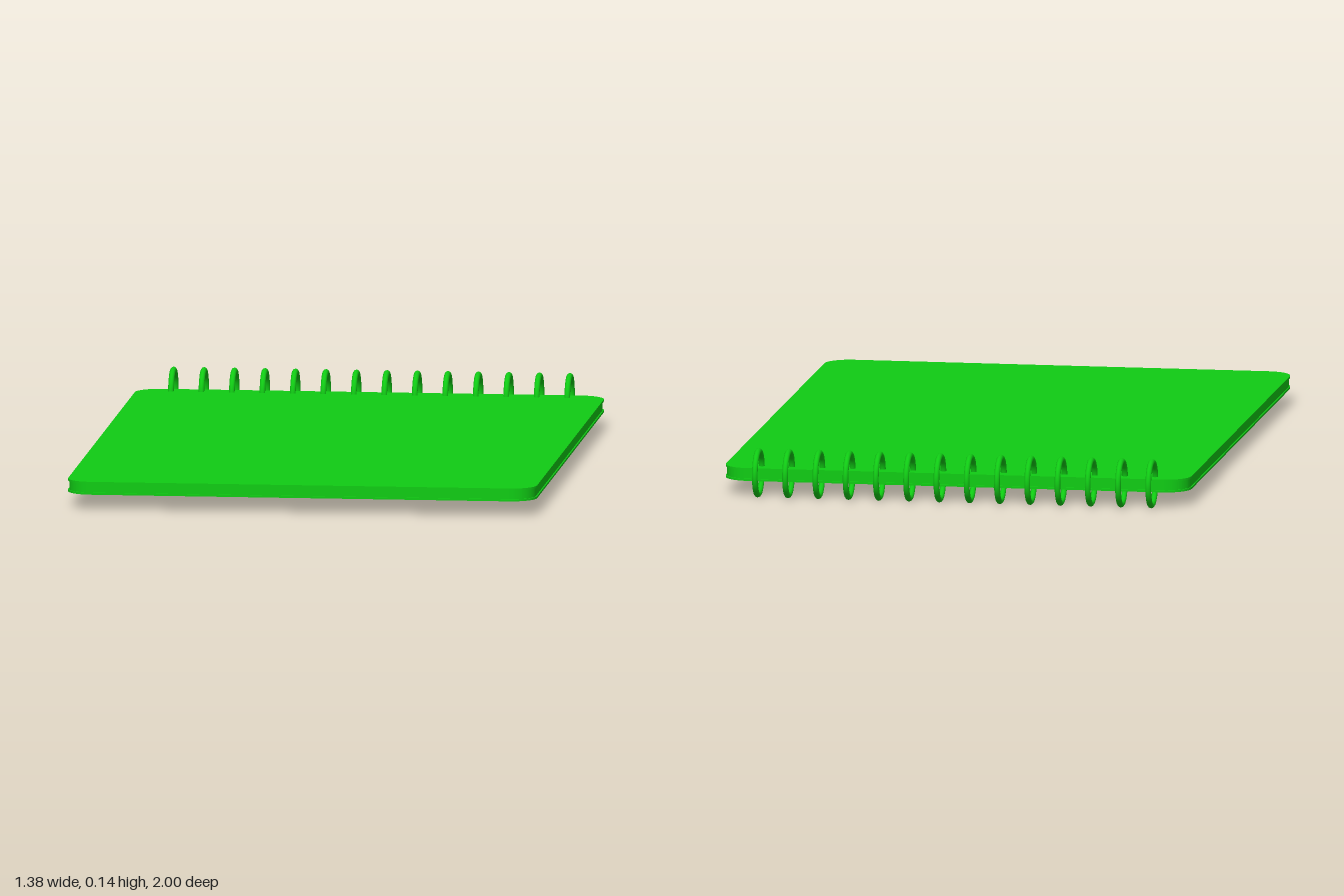
import * as THREE from 'three';

const W = 1.38, Z0 = -0.91, Z1 = 1.0;

// Flat rounded rectangle lying between heights y0 and y1
function sheet(name, y0, y1, inset, material) {
  const x = W / 2 - inset, a = -(Z1 - inset), b = -(Z0 + inset), r = 0.075 - inset;
  const s = new THREE.Shape();
  s.moveTo(-x + r, a);
  s.lineTo(x - r, a);
  s.absarc(x - r, a + r, r, -Math.PI / 2, 0, false);
  s.lineTo(x, b - r);
  s.absarc(x - r, b - r, r, 0, Math.PI / 2, false);
  s.lineTo(-x + r, b);
  s.absarc(-x + r, b - r, r, Math.PI / 2, Math.PI, false);
  s.lineTo(-x, a + r);
  s.absarc(-x + r, a + r, r, Math.PI, Math.PI * 1.5, false);
  const geometry = new THREE.ExtrudeGeometry(s, { depth: y1 - y0, bevelEnabled: false, curveSegments: 10 });
  geometry.rotateX(-Math.PI / 2).translate(0, y0, 0);
  const mesh = new THREE.Mesh(geometry, material);
  mesh.name = name;
  return mesh;
}

export function createModel() {
  const group = new THREE.Group();
  group.name = 'notepad';
  const green = new THREE.MeshStandardMaterial({ color: 0x10cc14 });

  // Covers with the slightly inset block of pages between them
  group.add(sheet('backCover', 0.044, 0.05, 0, green));
  group.add(sheet('pages', 0.05, 0.076, 0.004, green));
  group.add(sheet('frontCover', 0.076, 0.082, 0, green));

  // Row of wire rings along the back edge
  const binding = new THREE.Group();
  binding.name = 'ringBinding';
  const ringGeometry = new THREE.TorusGeometry(0.064, 0.0085, 10, 36).rotateY(Math.PI / 2);
  const count = 14;
  for (let i = 0; i < count; i++) {
    const ring = new THREE.Mesh(ringGeometry, green);
    ring.name = 'ring';
    ring.position.set(-0.587 + i * 0.0897, 0.0725, -0.9275);
    binding.add(ring);
  }
  group.add(binding);
  return group;
}
